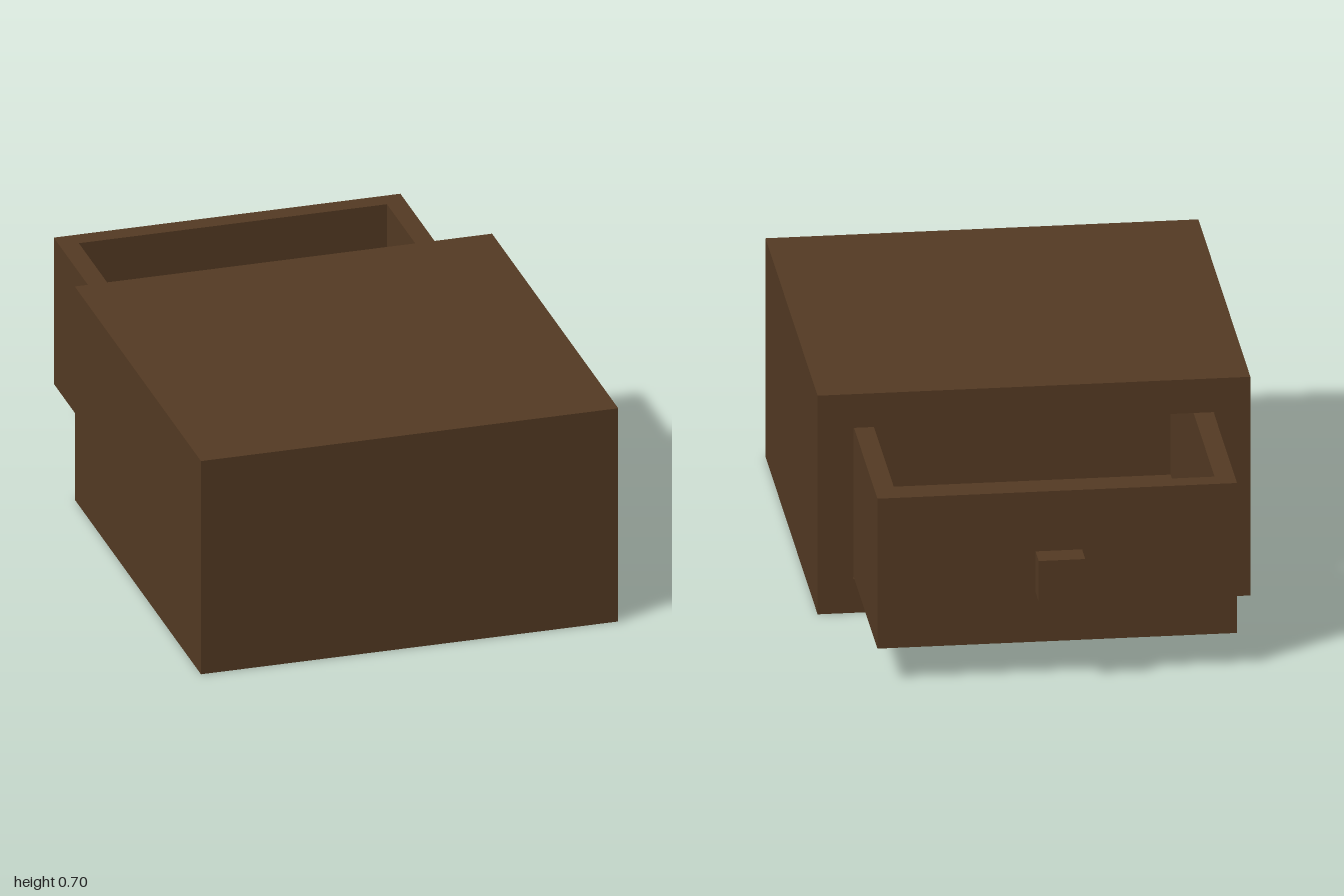
import * as THREE from 'three';

export function createModel() {
  const model = new THREE.Group();
  const wood = new THREE.MeshStandardMaterial({ color: 0x543a23 });
  wood.name = 'darkWood';

  // Box given by its min and max corners
  const box = (parent, name, x0, x1, y0, y1, z0, z1) => {
    const mesh = new THREE.Mesh(new THREE.BoxGeometry(x1 - x0, y1 - y0, z1 - z0), wood);
    mesh.position.set((x0 + x1) / 2, (y0 + y1) / 2, (z0 + z1) / 2);
    mesh.name = name;
    parent.add(mesh);
  };
  const trace = (path, w, y0, y1) => {
    path.moveTo(-w, y0);
    path.lineTo(w, y0);
    path.lineTo(w, y1);
    path.lineTo(-w, y1);
    path.closePath();
    return path;
  };

  // Cabinet: rectangular sleeve around the drawer, closed by a panel
  const cabinet = new THREE.Group();
  cabinet.name = 'cabinet';
  const section = trace(new THREE.Shape(), 0.65, 0, 0.7);
  section.holes.push(trace(new THREE.Path(), 0.542, 0.108, 0.592));
  const sleeve = new THREE.Mesh(
    new THREE.ExtrudeGeometry(section, { depth: 1.2, bevelEnabled: false }), wood);
  sleeve.position.z = -0.3;
  sleeve.name = 'cabinetSleeve';
  cabinet.add(sleeve);
  box(cabinet, 'cabinetPanel', -0.65, 0.65, 0, 0.7, 0.9, 1);
  model.add(cabinet);

  // Open drawer: floor, two sides and two end walls
  const drawer = new THREE.Group();
  drawer.name = 'drawer';
  box(drawer, 'drawerFloor', -0.48, 0.48, 0.11, 0.17, -0.82, 0.28);
  for (const [name, x] of [['drawerLeftSide', 0.51], ['drawerRightSide', -0.51]])
    box(drawer, name, x - 0.03, x + 0.03, 0.11, 0.59, -0.82, 0.28);
  box(drawer, 'drawerFace', -0.54, 0.54, 0.11, 0.59, -0.88, -0.82);
  box(drawer, 'drawerInnerEnd', -0.54, 0.54, 0.11, 0.59, 0.28, 0.34);

  // Knob on a short stem
  box(drawer, 'knobStem', -0.035, 0.035, 0.322, 0.378, -0.92, -0.88);
  box(drawer, 'knob', -0.07, 0.07, 0.285, 0.415, -1, -0.92);
  model.add(drawer);

  return model;
}
